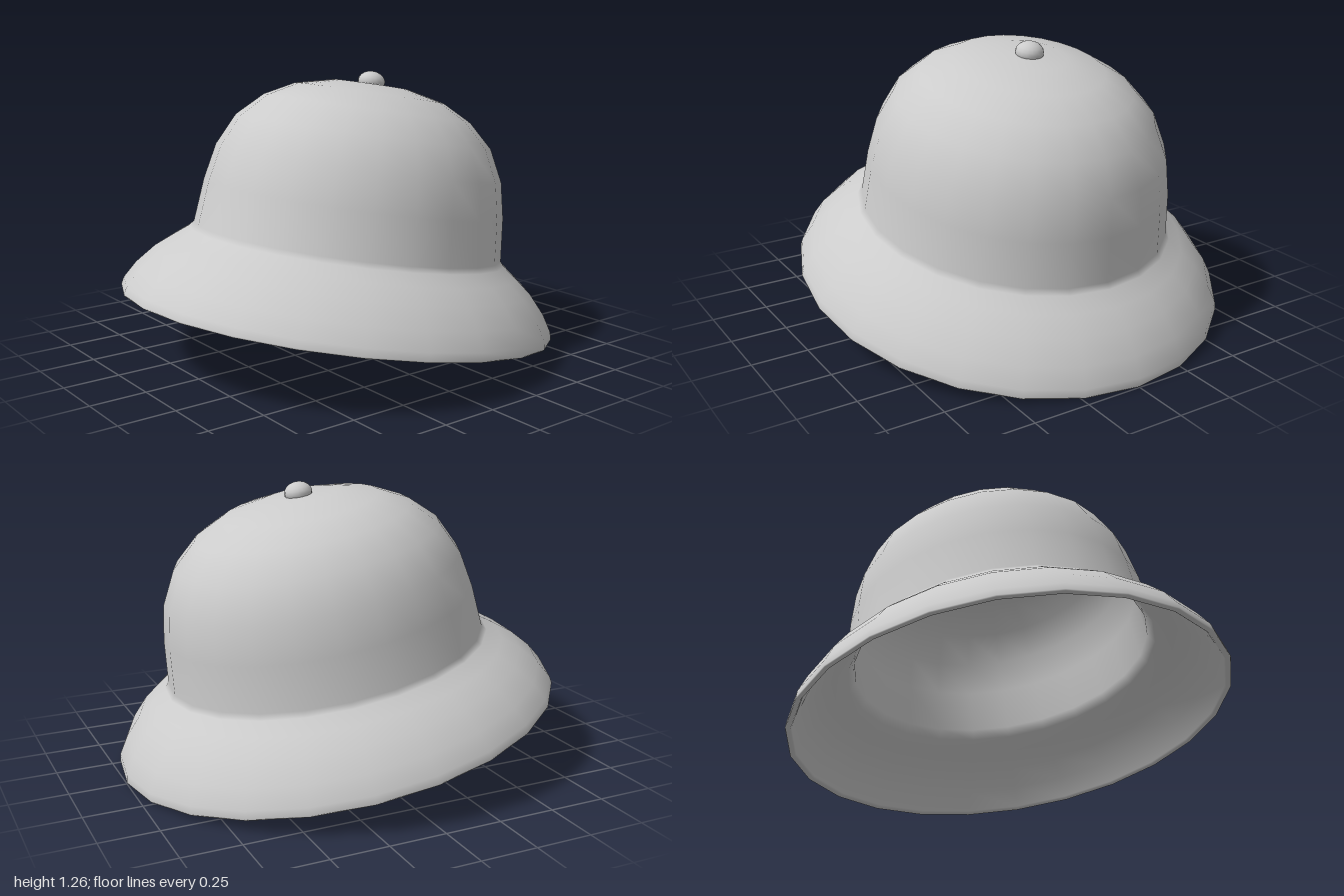
import * as THREE from 'three';

const TILT = -10.1 * Math.PI / 180; // front of the hat lifted
const DEPTH = 1.08;                 // oval: longer front to back

export function createModel() {
  const model = new THREE.Group();
  const material = new THREE.MeshStandardMaterial({ color: 0xcccccc });

  // Closed shell profile [radius, height]: inside from apex to rim, then outside back up
  const inside = [
    [0, 1.01], [0.15, 1.005], [0.31, 0.965], [0.43, 0.9], [0.53, 0.8], [0.595, 0.67],
    [0.625, 0.52], [0.642, 0.32], [0.67, 0.28], [0.735, 0.23], [0.8, 0.17], [0.868, 0.09], [0.912, 0.008],
  ];
  const outside = [
    [0.918, 0], [0.937, 0], [0.939, 0.006], [0.932, 0.038], [0.89, 0.112], [0.82, 0.196], [0.75, 0.255],
    [0.69, 0.303], [0.672, 0.325], [0.653, 0.52], [0.622, 0.68], [0.555, 0.823], [0.45, 0.928],
    [0.325, 0.997], [0.16, 1.037], [0, 1.042],
  ];
  const profile = [...inside, ...outside].map(([r, y]) => new THREE.Vector2(r, y));
  const shell = new THREE.Mesh(new THREE.LatheGeometry(profile, 24), material);
  shell.name = 'helmetShell';
  shell.scale.z = DEPTH;

  // Small flattened button on the apex
  const button = new THREE.Mesh(new THREE.SphereGeometry(0.062, 16, 10), material);
  button.name = 'topButton';
  button.scale.y = 0.75;
  button.position.y = 1.051;

  const helmet = new THREE.Group();
  helmet.name = 'helmet';
  helmet.add(shell, button);
  helmet.rotation.x = TILT;
  helmet.position.y = 0.178;
  model.add(helmet);
  return model;
}
